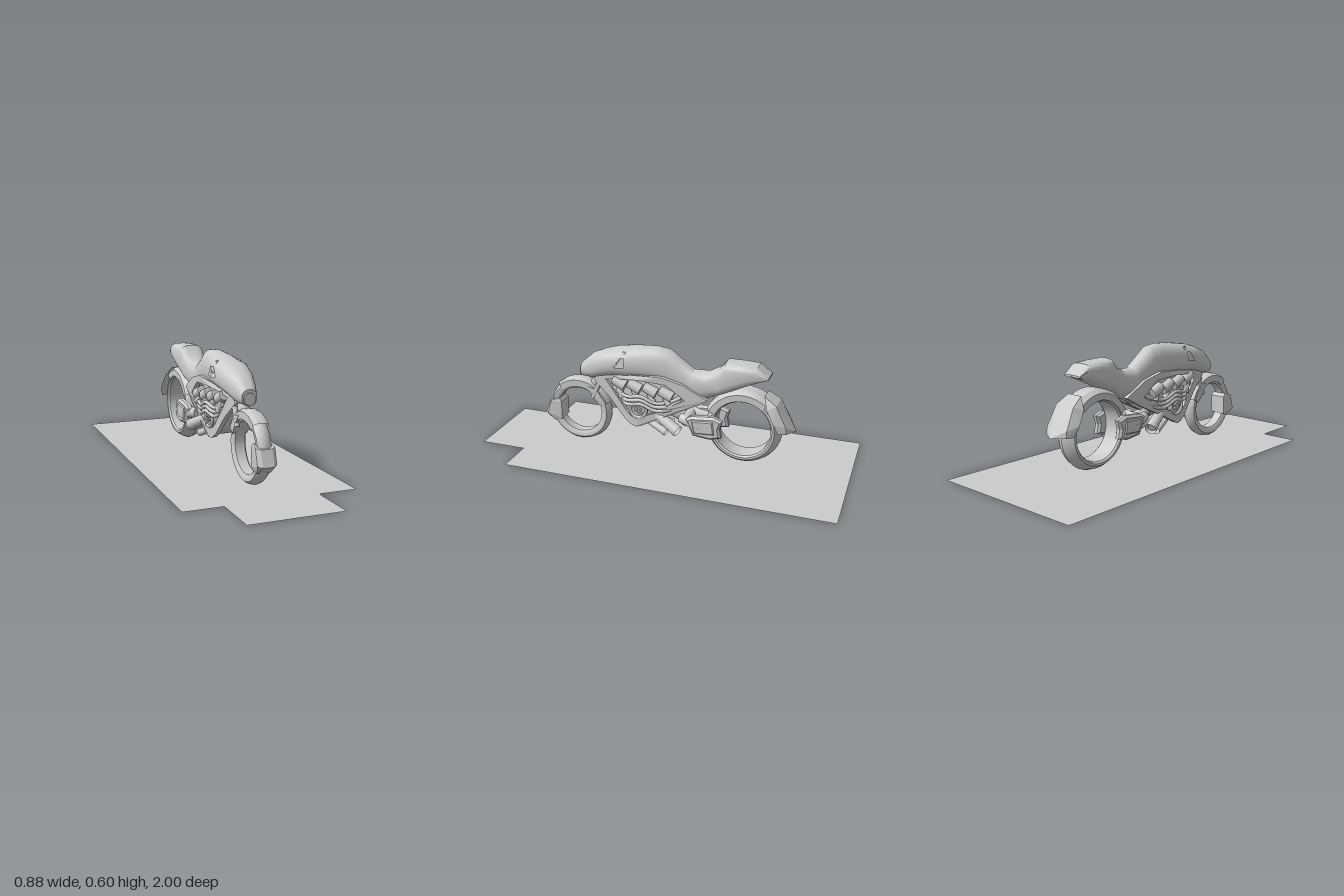
import * as THREE from 'three';
import { toCreasedNormals } from 'three/addons/utils/BufferGeometryUtils.js';
import { ConvexGeometry } from 'three/addons/geometries/ConvexGeometry.js';

const mat = new THREE.MeshStandardMaterial({ color: 0xcccccc, side: THREE.DoubleSide });
const V = (x, y, z) => new THREE.Vector3(x, y, z);

export function createModel() {
  const root = new THREE.Group();
  const add = (name, geo) => {
    const m = new THREE.Mesh(geo, mat);
    m.name = name;
    root.add(m);
    return m;
  };

  // Helpers
  const hull = (name, pts) => // pts: [z, y, halfWidth], mirrored across x
    add(name, new ConvexGeometry(pts.flatMap(([z, y, w]) => (w ? [V(w, y, z), V(-w, y, z)] : [V(0, y, z)]))));
  const rod = (name, a, b, r1, r2 = r1, open = false) => {
    const d = b.clone().sub(a);
    const m = add(name, new THREE.CylinderGeometry(r2, r1, d.length(), 20, 1, open));
    m.position.copy(a).addScaledVector(d, 0.5);
    m.quaternion.setFromUnitVectors(V(0, 1, 0), d.normalize());
    return m;
  };
  const ring = (name, z, y, profile, from = 0, sweep = 360) => { // angles run from the front over the top
    const pts = profile.map(([r, x]) => new THREE.Vector2(r, x));
    pts.push(pts[0].clone());
    const rad = Math.PI / 180;
    const g = new THREE.LatheGeometry(pts, Math.ceil(sweep / 9), from * rad, sweep * rad).rotateZ(Math.PI / 2);
    add(name, toCreasedNormals(g, 0.6)).position.set(0, y, z);
  };
  const plate = (name, outline, hole, side, xOf, thick, bevel = 0) => { // outline: [z, y]
    const shape = new THREE.Shape(outline.map((p) => new THREE.Vector2(...p)));
    if (hole) shape.holes.push(new THREE.Path(hole.map((p) => new THREE.Vector2(...p))));
    const g = new THREE.ExtrudeGeometry(shape, {
      depth: thick, bevelEnabled: bevel > 0, bevelSize: bevel, bevelThickness: bevel, bevelSegments: 1, bevelOffset: -bevel,
    }).rotateY(-Math.PI / 2);
    const p = g.attributes.position;
    for (let i = 0; i < p.count; i++) p.setX(i, p.getX(i) + thick / 2 + side * xOf(p.getZ(i)));
    g.computeVertexNormals();
    add(name, g);
  };

  // Ground plate with a narrower front tab
  const ground = new THREE.Shape([[-0.44, 1], [-0.44, -0.75], [-0.24, -0.75], [-0.24, -1],
    [0.24, -1], [0.24, -0.75], [0.44, -0.75], [0.44, 1]].map((p) => new THREE.Vector2(...p)));
  add('groundPlate', new THREE.ShapeGeometry(ground).rotateX(-Math.PI / 2));

  // Hubless wheels and fenders
  ring('frontTyre', 0.495, 0.185, [[0.13, -0.026], [0.145, -0.036], [0.163, -0.036], [0.175, -0.022], [0.181, 0],
    [0.175, 0.022], [0.163, 0.036], [0.145, 0.036], [0.13, 0.026]]);
  ring('rearTyre', -0.435, 0.22, [[0.152, -0.05], [0.16, -0.06], [0.172, -0.06], [0.193, -0.03], [0.203, 0],
    [0.193, 0.03], [0.172, 0.06], [0.16, 0.06], [0.152, 0.05]]);
  ring('frontFender', 0.495, 0.185, [[0.14, -0.04], [0.178, -0.04], [0.189, -0.02], [0.189, 0.02], [0.178, 0.04], [0.14, 0.04]], 50, 110);
  ring('rearFender', -0.435, 0.22, [[0.16, -0.066], [0.195, -0.066], [0.213, -0.04], [0.213, 0.04], [0.195, 0.066], [0.16, 0.066]], 25, 105);
  hull('frontGuard', [[0.615, 0.24, 0.04], [0.66, 0.225, 0.05], [0.674, 0.22, 0.03], [0.685, 0.145, 0.05],
    [0.705, 0.14, 0.03], [0.65, 0.10, 0.036], [0.60, 0.12, 0.045], [0.60, 0.22, 0.045]]);
  hull('rearGuard', [[-0.545, 0.417, 0.045], [-0.565, 0.36, 0.085], [-0.61, 0.375, 0.06], [-0.605, 0.29, 0.097],
    [-0.63, 0.235, 0.085], [-0.665, 0.27, 0.07], [-0.67, 0.235, 0.07], [-0.71, 0.23, 0]]);

  // Tank, seat and tail: one loft of sections [z, bottom, top, halfWidth, widestY]
  const sections = [[0.476, 0.42, 0.43, 0.002, 0.425], [0.476, 0.385, 0.465, 0.04, 0.425], [0.41, 0.385, 0.524, 0.062, 0.45],
    [0.34, 0.405, 0.553, 0.08, 0.48], [0.27, 0.42, 0.573, 0.092, 0.495], [0.15, 0.42, 0.592, 0.078, 0.5],
    [0.05, 0.42, 0.60, 0.067, 0.5], [-0.02, 0.41, 0.593, 0.062, 0.49], [-0.08, 0.38, 0.55, 0.057, 0.46],
    [-0.155, 0.305, 0.497, 0.056, 0.42], [-0.235, 0.35, 0.496, 0.062, 0.44], [-0.30, 0.385, 0.53, 0.068, 0.45],
    [-0.335, 0.40, 0.572, 0.071, 0.48], [-0.42, 0.442, 0.57, 0.074, 0.51], [-0.50, 0.48, 0.565, 0.07, 0.52],
    [-0.56, 0.505, 0.516, 0.055, 0.51], [-0.56, 0.509, 0.511, 0.002, 0.51]];
  const N = 32, pos = [], idx = [];
  const pow = (v, e) => Math.sign(v) * Math.abs(v) ** e;
  sections.forEach(([z, yb, yt, w, ym], i) => {
    for (let j = 0; j < N; j++) {
      const a = (j / N) * Math.PI * 2, s = Math.sin(a);
      const e = z < -0.28 ? 0.6 : 0.85;
      pos.push(w * pow(Math.cos(a), e), ym + pow(s, e) * (s > 0 ? yt - ym : ym - yb), z);
      if (i === sections.length - 1) continue;
      const k = i * N + j, n = i * N + ((j + 1) % N);
      idx.push(k, k + N, n, n, k + N, n + N);
    }
  });
  const body = new THREE.BufferGeometry();
  body.setAttribute('position', new THREE.Float32BufferAttribute(pos, 3));
  body.setIndex(idx);
  add('tankSeatAndTail', toCreasedNormals(body, 0.6));

  // Headlight, steering neck and fork bracket
  rod('headlight', V(0, 0.418, 0.41), V(0, 0.418, 0.485), 0.036, 0.031);
  rod('steeringNeck', V(0, 0.42, 0.37), V(0, 0.30, 0.43), 0.024, 0.03);
  hull('forkBracket', [[0.44, 0.335, 0.042], [0.385, 0.325, 0.045], [0.335, 0.25, 0.043], [0.365, 0.225, 0.04], [0.40, 0.27, 0.045]]);

  // Engine core between the frame sides
  hull('engineCore', [[0.31, 0.41, 0.03], [0.05, 0.43, 0.055], [-0.10, 0.38, 0.05], [-0.13, 0.33, 0.045],
    [0.02, 0.23, 0.055], [0.14, 0.17, 0.05], [0.20, 0.21, 0.045]]);
  rod('swingarmPivot', V(-0.06, 0.225, -0.13), V(0.06, 0.225, -0.13), 0.03);

  for (const s of [1, -1]) {
    const side = s > 0 ? 'left' : 'right';

    // Triangular frame side, narrow at the steering head
    const frameX = (z) => 0.028 + 0.042 * Math.min(1, Math.max(0, (0.41 - z) / 0.3)) - 0.012 * Math.max(0, -z / 0.2);
    plate(side + 'Frame', [[0.40, 0.385], [0.36, 0.43], [0.2, 0.45], [0, 0.46], [-0.12, 0.43], [-0.25, 0.358], [-0.14, 0.295],
      [0.02, 0.218], [0.11, 0.168], [0.14, 0.157], [0.17, 0.162], [0.21, 0.19], [0.30, 0.297]],
    [[0.325, 0.40], [0.27, 0.33], [0.2, 0.238], [0.17, 0.212], [0.13, 0.21], [0.02, 0.265], [-0.13, 0.345], [-0.03, 0.42], [0.15, 0.425]],
    s, frameX, 0.024);

    // Cylinder bank with caps
    for (let i = 0; i < 4; i++) {
      const z = 0.25 - i * 0.09, x = 0.05 + 0.005 * i;
      rod(side + 'EngineCylinder', V(s * x, 0.405 - i * 0.008, z + 0.03), V(s * x, 0.375 - i * 0.008, z - 0.04), 0.026, 0.03);
      rod(side + 'IntakeStub', V(s * x, 0.37 - i * 0.008, z), V(s * (x + 0.012), 0.31, z - 0.025), 0.016);
    }
    // Round engine cover with rim and slats
    rod(side + 'EngineCover', V(s * 0.04, 0.258, 0.13), V(s * 0.074, 0.258, 0.13), 0.052, 0.044);
    const rim = add(side + 'CoverRim', new THREE.TorusGeometry(0.045, 0.009, 8, 32));
    rim.rotation.y = Math.PI / 2;
    rim.position.set(s * 0.075, 0.258, 0.13);
    for (let i = -1; i <= 1; i++) {
      const slat = add(side + 'CoverSlat', new THREE.BoxGeometry(0.012, 0.009, 0.066));
      slat.position.set(s * 0.077, 0.258 + i * 0.02, 0.13 + i * 0.006);
      slat.rotation.x = -0.6;
    }
    // Curved header pipes
    for (let i = 0; i < 3; i++) {
      const y = -i * 0.022;
      const path = new THREE.CatmullRomCurve3([V(s * 0.045, 0.36 + y, 0.28 - i * 0.02), V(s * 0.07, 0.325 + y, 0.20),
        V(s * 0.084, 0.338 + y, 0.11), V(s * 0.08, 0.31 + y, 0.03), V(s * 0.068, 0.325 + y, -0.05), V(s * 0.05, 0.35 + y, -0.10)]);
      add(side + 'HeaderPipe', new THREE.TubeGeometry(path, 36, 0.01, 8));
    }
    // Exhausts, open at the rear
    rod(side + 'Exhaust', V(s * 0.05, 0.235, 0.03), V(s * 0.092, 0.172, -0.10), 0.026, 0.031, true);
    rod(side + 'ExhaustCore', V(s * 0.05, 0.235, 0.03), V(s * 0.088, 0.179, -0.085), 0.02, 0.022);
    rod(side + 'LowerExhaust', V(s * 0.04, 0.185, 0.08), V(s * 0.065, 0.143, -0.025), 0.017, 0.02, true);

    // Swingarm block with raised panel
    rod(side + 'SwingarmLink', V(s * 0.05, 0.235, -0.10), V(s * 0.072, 0.215, -0.22), 0.026, 0.035);
    plate(side + 'SwingarmBlock', [[-0.14, 0.25], [-0.17, 0.268], [-0.29, 0.28], [-0.34, 0.262], [-0.325, 0.215], [-0.335, 0.165], [-0.27, 0.15], [-0.18, 0.16]],
      null, s, () => 0.077, 0.02, 0.012);
    plate(side + 'SwingarmPanel', [[-0.175, 0.25], [-0.29, 0.258], [-0.30, 0.185], [-0.19, 0.178]], null, s, () => 0.096, 0.006, 0.006);

    // Handlebar stub, blade grip and small upper peg
    rod(side + 'HandlebarStub', V(s * 0.07, 0.515, 0.23), V(s * 0.098, 0.515, 0.23), 0.012);
    const blade = [[0.108, 0.49, 0.25], [0.09, 0.492, 0.26], [0.097, 0.545, 0.215], [0.085, 0.54, 0.225], [0.104, 0.495, 0.195], [0.092, 0.545, 0.2]];
    add(side + 'Grip', new ConvexGeometry(blade.map(([x, y, z]) => V(s * x, y, z))));
    rod(side + 'Peg', V(s * 0.045, 0.555, 0.21), V(s * 0.067, 0.563, 0.21), 0.01);

    // Fork leg
    rod(side + 'ForkLeg', V(s * 0.03, 0.41, 0.35), V(s * 0.036, 0.27, 0.41), 0.013);
  }
  return root;
}
